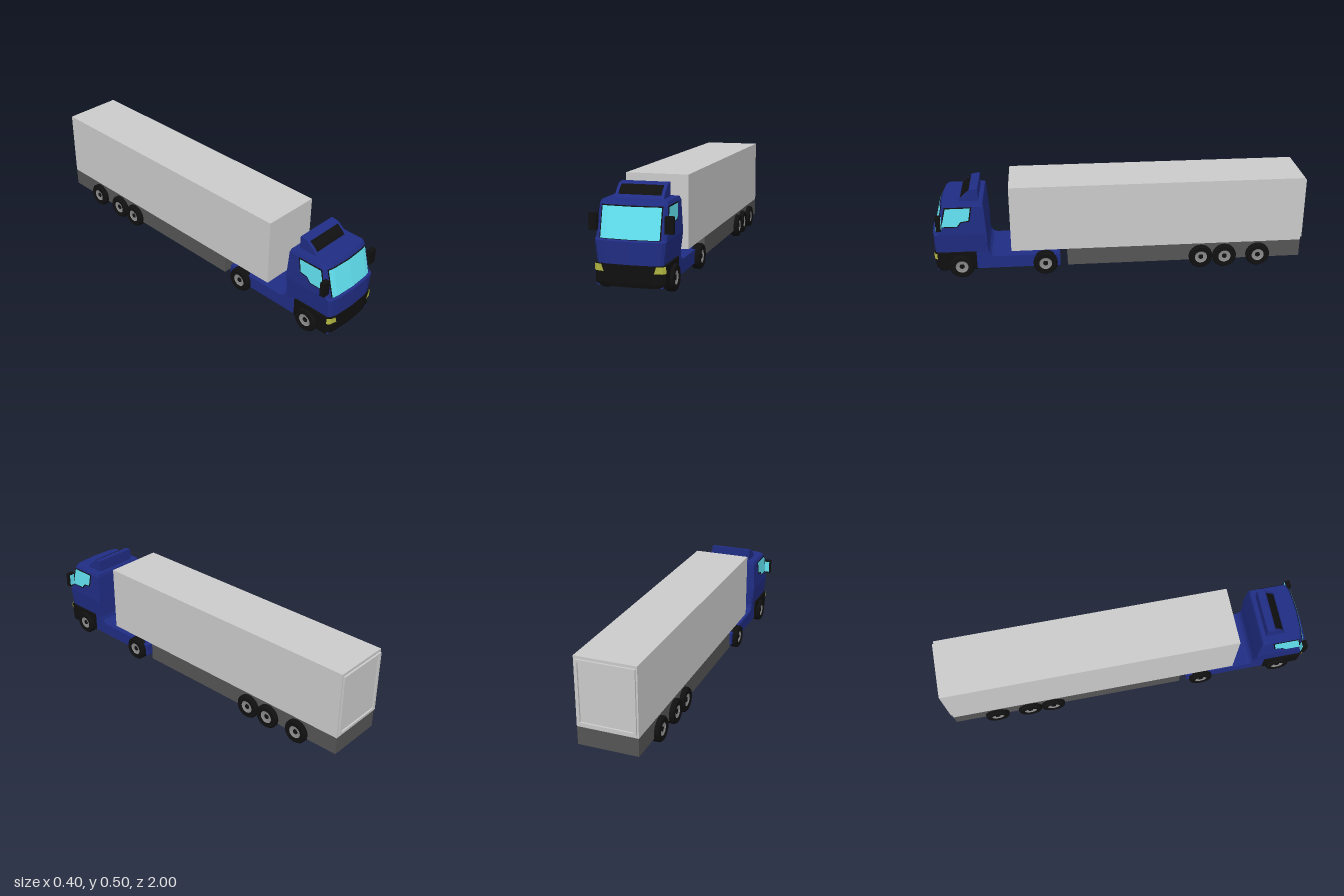
import * as THREE from 'three';

const mat = (color) => new THREE.MeshStandardMaterial({ color, flatShading: true, side: THREE.DoubleSide });

// Skin between rows of [x, y, z] points; closed rows form a capped solid.
function loft(rows, closed) {
  const out = [];
  const n = rows[0].length;
  const tri = (...p) => p.forEach((q) => out.push(...q));
  for (let r = 0; r < rows.length - 1; r++) {
    for (let i = 0; i < (closed ? n : n - 1); i++) {
      const j = (i + 1) % n;
      const a = rows[r], b = rows[r + 1];
      tri(a[i], b[i], b[j]);
      tri(a[i], b[j], a[j]);
    }
  }
  if (closed) {
    const lo = rows[0], hi = rows[rows.length - 1];
    for (let i = 1; i < n - 1; i++) {
      tri(lo[0], lo[i], lo[i + 1]);
      tri(hi[0], hi[i + 1], hi[i]);
    }
  }
  const g = new THREE.BufferGeometry();
  g.setAttribute('position', new THREE.Float32BufferAttribute(out, 3));
  g.computeVertexNormals();
  return g;
}

const shapeOf = (pts) => new THREE.Shape(pts.map(([a, b]) => new THREE.Vector2(a, b)));

// Side profile of [z, y] points extruded across x, centred.
function profile(pts, width) {
  const g = new THREE.ExtrudeGeometry(shapeOf(pts), { depth: width, bevelEnabled: false });
  return g.rotateY(-Math.PI / 2).translate(width / 2, 0, 0);
}

function block(x0, x1, y0, y1, z0, z1) {
  return new THREE.BoxGeometry(x1 - x0, y1 - y0, z1 - z0)
    .translate((x0 + x1) / 2, (y0 + y1) / 2, (z0 + z1) / 2);
}

// Horizontal cab section with a gently bowed front and chamfered corners.
function section(y, w, zb, zf) {
  const half = [[w, zb], [w, zf - 0.028], [w - 0.013, zf - 0.015], [0.11, zf - 0.006]];
  const left = half.map(([x, z]) => [x, y, z]);
  const right = half.map(([x, z]) => [-x, y, z]).reverse();
  return [...left, [0, y, zf], ...right];
}

// Panel lying just ahead of the sloping windscreen surface.
function screenPanel(w, y0, y1, offset) {
  return loft([y0, y1].map((y) => [w, 0.11, 0, -0.11, -w].map((x) => {
    const slope = 0.985 - (y - 0.257) * 0.26;
    const a = Math.abs(x);
    const bow = a <= 0.11 ? a * 0.055 : 0.006 + (a - 0.11) * 0.225;
    return [x, y, slope - bow + offset];
  })), false);
}

// Side window panel following the inward lean of the cab side.
function sidePanel(pts, side, offset) {
  const g = new THREE.ShapeGeometry(shapeOf(pts));
  const p = g.attributes.position;
  for (let i = 0; i < p.count; i++) {
    const z = p.getX(i), y = p.getY(i);
    p.setXYZ(i, side * (0.168 - (y - 0.257) * 0.04 + offset), y, z);
  }
  g.computeVertexNormals();
  return g;
}

export function createModel() {
  const root = new THREE.Group();
  const blue = mat(0x202d84), black = mat(0x101010), glass = mat(0x62e2f2);
  const grey = mat(0xcccccc), dark = mat(0x555555), yellow = mat(0xb4b840), rim = mat(0x8a8a8a);
  const add = (name, geo, material, parent = root) => {
    const m = new THREE.Mesh(geo, material);
    m.name = name;
    parent.add(m);
    return m;
  };

  // Trailer: cargo box, lower skirt and framed rear door
  add('cargoBox', block(-0.158, 0.158, 0.138, 0.502, -0.99, 0.585), grey);
  add('trailerSkirt', block(-0.157, 0.157, 0.042, 0.138, -0.99, 0.285), dark);
  const frame = shapeOf([[-0.15, 0.152], [0.15, 0.152], [0.15, 0.488], [-0.15, 0.488]]);
  frame.holes.push(new THREE.Path([[-0.136, 0.166], [-0.136, 0.474], [0.136, 0.474], [0.136, 0.166]]
    .map(([x, y]) => new THREE.Vector2(x, y))));
  add('rearDoorFrame', new THREE.ExtrudeGeometry(frame, { depth: 0.01, bevelEnabled: false })
    .translate(0, 0, -1), grey);
  add('rearDoor', block(-0.134, 0.134, 0.168, 0.472, -0.993, -0.985), grey);

  // Tractor chassis with a curved rise behind the cab
  add('chassis', profile([[0.325, 0.042], [0.98, 0.042], [0.96, 0.15], [0.73, 0.25], [0.71, 0.25],
    [0.708, 0.15], [0.702, 0.13], [0.69, 0.116], [0.67, 0.11], [0.325, 0.11]], 0.312), blue);

  // Cab body and bumper
  add('cab', loft([
    section(0.14, 0.156, 0.715, 0.998),
    section(0.25, 0.168, 0.71, 1.0),
    section(0.257, 0.168, 0.71, 0.985),
    section(0.405, 0.162, 0.718, 0.947),
    section(0.422, 0.155, 0.722, 0.938),
  ], true), blue);
  add('bumper', loft([
    section(0.041, 0.163, 0.77, 0.992),
    section(0.06, 0.166, 0.77, 0.998),
    section(0.145, 0.167, 0.77, 1.0),
  ], true), black);

  // Windscreen
  add('windscreenFrame', screenPanel(0.145, 0.252, 0.405, 0.003), black);
  add('windscreen', screenPanel(0.14, 0.258, 0.4, 0.005), glass);

  // Roof deflector with dark inset
  add('roofDeflector', profile([[0.85, 0.42], [0.825, 0.45], [0.785, 0.482], [0.745, 0.488], [0.745, 0.42]], 0.238), blue);
  add('deflectorInset', profile([[0.839, 0.437], [0.828, 0.451], [0.794, 0.479], [0.79, 0.472],
    [0.82, 0.445], [0.83, 0.437]], 0.206), black);

  // Parts on both sides of the cab
  const windowFrame = [[0.92, 0.406], [0.778, 0.406], [0.793, 0.325], [0.837, 0.319], [0.857, 0.294], [0.946, 0.294]];
  const windowPane = [[0.915, 0.4], [0.786, 0.4], [0.799, 0.331], [0.84, 0.325], [0.86, 0.3], [0.94, 0.3]];
  for (const [s, label] of [[1, 'left'], [-1, 'right']]) {
    add(label + 'WindowFrame', sidePanel(windowFrame, s, 0.002), black);
    add(label + 'Window', sidePanel(windowPane, s, 0.004), glass);
    add(label + 'Headlight', loft([
      [[0.118, 0.11, 0.997], [0.155, 0.11, 0.989], [0.169, 0.11, 0.974]],
      [[0.129, 0.143, 0.997], [0.155, 0.143, 0.99], [0.169, 0.143, 0.975]],
    ].map((row) => row.map(([x, y, z]) => [s * x, y, z])), false), yellow);
    const mirror = new THREE.Group();
    mirror.name = label + 'Mirror';
    root.add(mirror);
    const x0 = s > 0 ? 0.16 : -0.2;
    add('mirrorHousing', block(x0, x0 + 0.04, 0.287, 0.365, 0.941, 0.967), black, mirror);
    add('mirrorGlass', block(x0 + 0.006, x0 + 0.034, 0.294, 0.358, 0.939, 0.942), glass, mirror);
  }

  // Wheels: tyre, rim dish and dark hub, turned about the axle
  const lathe = (pts) => new THREE.LatheGeometry(pts.map(([r, h]) => new THREE.Vector2(r, h)), 24)
    .rotateZ(-Math.PI / 2);
  const tyreGeo = lathe([[0, 0.135], [0.058, 0.135], [0.065, 0.142], [0.065, 0.172], [0.058, 0.181],
    [0.036, 0.181], [0.033, 0.174]]);
  const rimGeo = lathe([[0.034, 0.177], [0.03, 0.174], [0.013, 0.172], [0, 0.172]]);
  const hubGeo = lathe([[0.014, 0.17], [0.013, 0.175], [0, 0.175]]);
  for (const z of [0.85, 0.405, -0.44, -0.57, -0.755]) {
    for (const s of [1, -1]) {
      const wheel = new THREE.Group();
      wheel.name = (s > 0 ? 'left' : 'right') + 'Wheel';
      wheel.position.set(0, 0.065, z);
      wheel.rotation.y = s > 0 ? 0 : Math.PI;
      add('tyre', tyreGeo, black, wheel);
      add('rim', rimGeo, rim, wheel);
      add('hub', hubGeo, black, wheel);
      root.add(wheel);
    }
  }
  return root;
}
